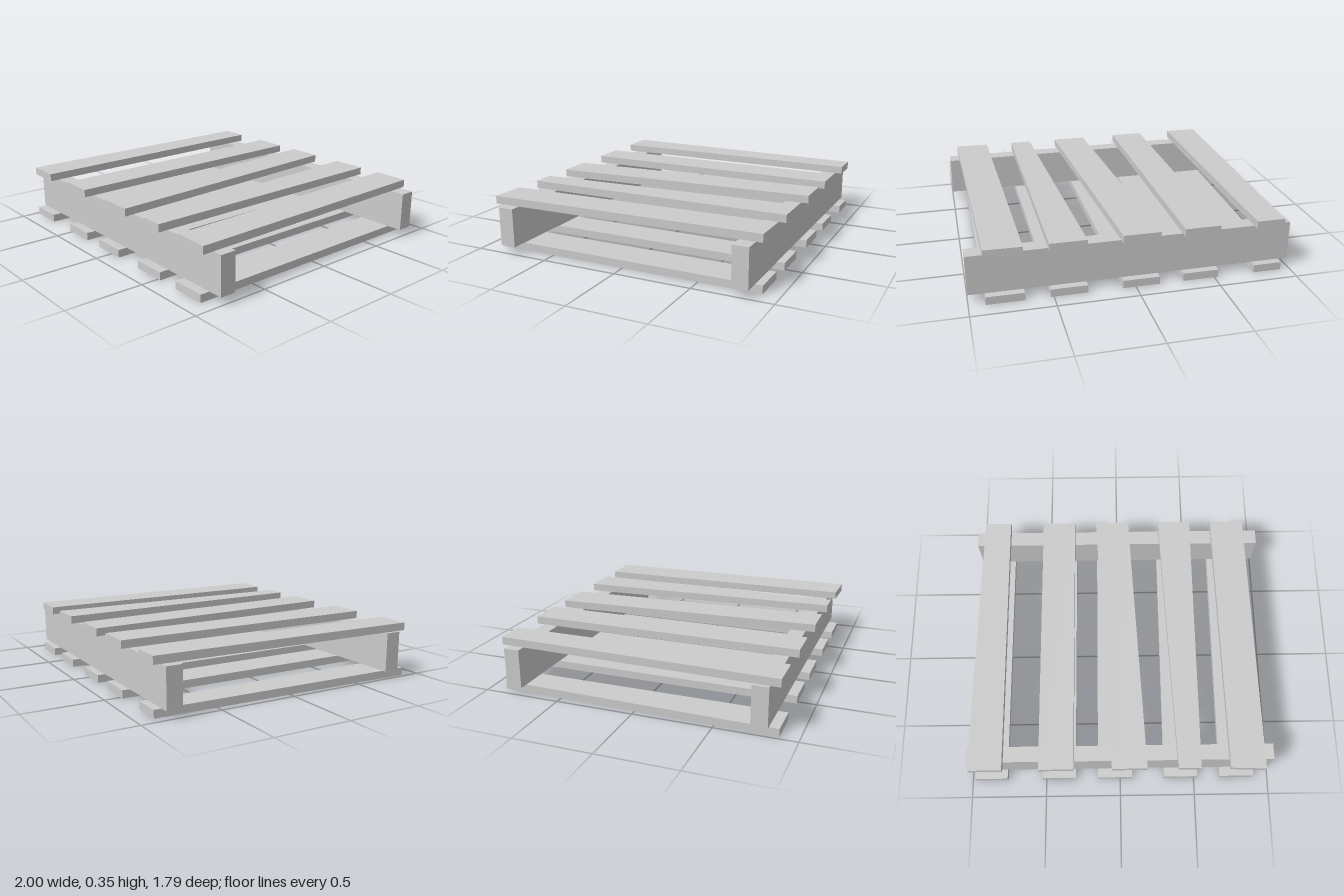
import * as THREE from 'three';

const BACK = -0.895, FRONT = 0.885, THICK = 0.05;
const material = new THREE.MeshStandardMaterial({ color: 0xcccccc, flatShading: true });

// Flat board from four plan corners [x, z], lying on height y
function board(name, corners, y) {
  const shape = new THREE.Shape(corners.map(([x, z]) => new THREE.Vector2(x, -z)));
  const geometry = new THREE.ExtrudeGeometry(shape, { depth: THICK, bevelEnabled: false });
  geometry.rotateX(-Math.PI / 2);
  const mesh = new THREE.Mesh(geometry, material);
  mesh.name = name;
  mesh.position.y = y;
  return mesh;
}

// Plan corners from the left/right x at the back and at the front
const plan = ([b0, b1], [f0, f1]) => [[b0, BACK], [b1, BACK], [f1, FRONT], [f0, FRONT]];

export function createModel() {
  const group = new THREE.Group();
  group.name = 'pallet';

  // Two upright beams running across
  for (const [name, z] of [['backBeam', -0.797], ['frontBeam', 0.773]]) {
    const beam = new THREE.Mesh(new THREE.BoxGeometry(2, 0.25, 0.101), material);
    beam.name = name;
    beam.position.set(0, 0.175, z);
    group.add(beam);
  }

  // Bottom slats: straight apart from the tapered first one
  const bottom = [
    plan([-0.94, -0.76], [-0.98, -0.76]),
    plan([-0.525, -0.3], [-0.525, -0.3]),
    plan([-0.15, 0.08], [-0.15, 0.08]),
    plan([0.295, 0.52], [0.295, 0.52]),
    plan([0.67, 0.9], [0.67, 0.9]),
  ];

  // Top slats: several are knocked askew
  const top = [
    bottom[0],
    bottom[1],
    plan([-0.15, 0.08], [-0.053, 0.175]),
    plan([0.295, 0.52], [0.375, 0.52]),
    [[0.67, -0.895], [0.9, -0.889], [0.936, 0.895], [0.709, 0.887]],
  ];

  bottom.forEach((corners, i) => group.add(board(`bottomSlat${i + 1}`, corners, 0)));
  top.forEach((corners, i) => group.add(board(`topSlat${i + 1}`, corners, 0.3)));
  return group;
}
